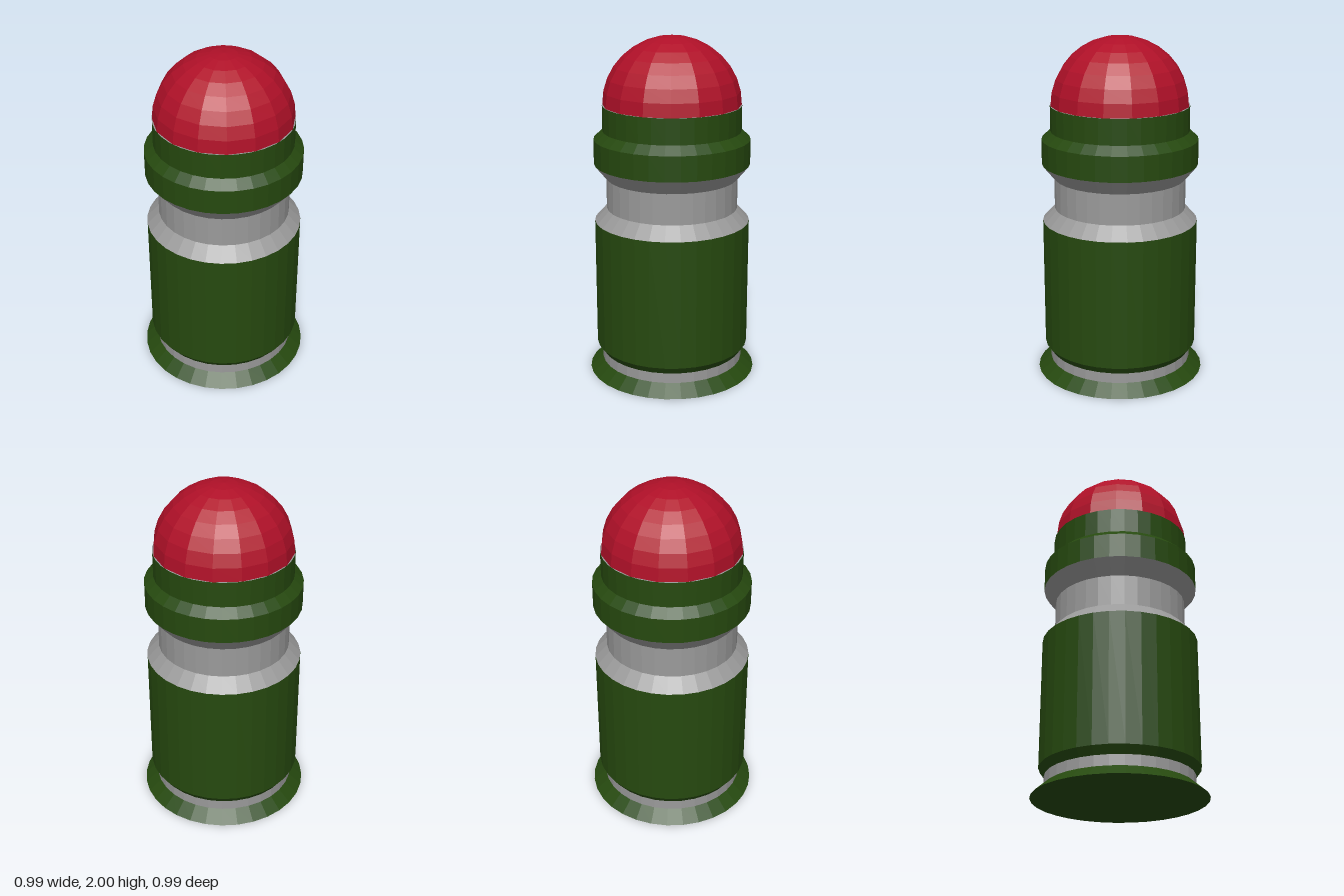
import * as THREE from 'three';

const SIDES = 32;
const DOME_R = 0.398;
const SHOULDER_Y = 1.61;

export function createModel() {
  const green = new THREE.MeshStandardMaterial({ color: 0x26490f });
  green.name = 'dark green';
  const metal = new THREE.MeshStandardMaterial({ color: 0x9a9a9a });
  metal.name = 'grey metal';
  const red = new THREE.MeshStandardMaterial({ color: 0xb01028 });
  red.name = 'red';

  const model = new THREE.Group();
  model.name = 'roundNosedCartridge';

  // Adds a mesh with faceted normals
  function addFaceted(name, geometry, material) {
    const flat = geometry.toNonIndexed();
    flat.computeVertexNormals();
    const mesh = new THREE.Mesh(flat, material);
    mesh.name = name;
    model.add(mesh);
    return mesh;
  }

  // Turned sections, stacked from the bottom: [radius, height] profiles
  const sections = [
    ['baseFlange', green, [[0, 0], [0.495, 0], [0.42, 0.065]]],
    ['extractorGroove', metal, [[0.42, 0.065], [0.42, 0.125]]],
    ['lowerCase', green, [[0.42, 0.125], [0.452, 0.17], [0.452, 0.93]]],
    ['neckBand', metal, [[0.452, 0.93], [0.382, 1.005], [0.382, 1.185], [0.452, 1.27]]],
    ['upperCollar', green, [[0.452, 1.27], [0.452, 1.415], [0.4, 1.462], [0.4, SHOULDER_Y]]],
    ['collarTop', metal, [[0.4, SHOULDER_Y], [0, SHOULDER_Y]]],
  ];
  for (const [name, material, profile] of sections) {
    const points = profile.map(([r, y]) => new THREE.Vector2(r, y));
    addFaceted(name, new THREE.LatheGeometry(points, SIDES), material);
  }

  // Rounded nose, coarser than the case and turned slightly
  const dome = addFaceted(
    'noseDome',
    new THREE.SphereGeometry(DOME_R, 16, 8, 0, Math.PI * 2, 0, Math.PI / 2),
    red
  );
  dome.scale.y = (2 - SHOULDER_Y) / DOME_R;
  dome.position.y = SHOULDER_Y;
  dome.rotation.y = THREE.MathUtils.degToRad(15.5);

  return model;
}
